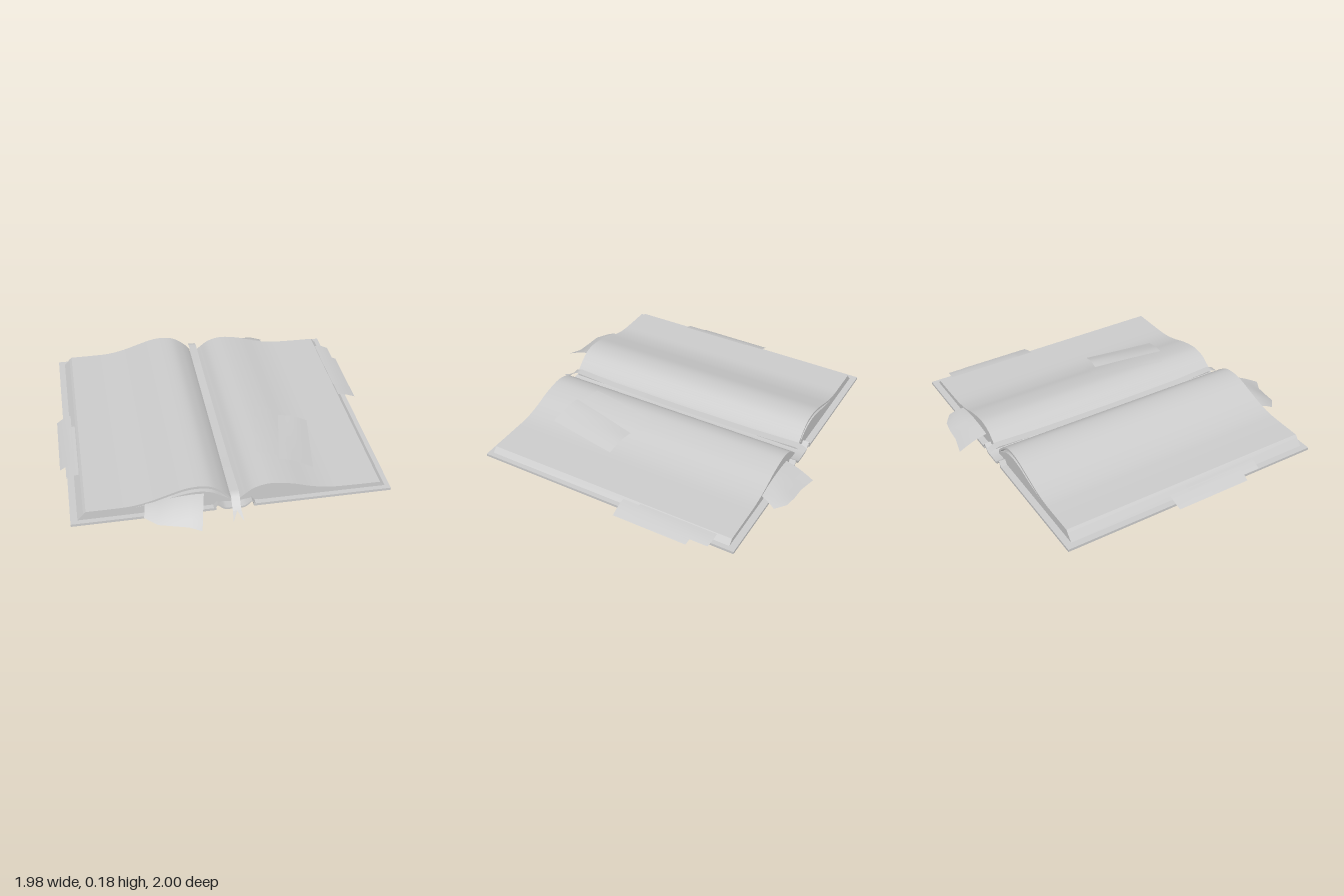
import * as THREE from 'three';
import { toCreasedNormals } from 'three/addons/utils/BufferGeometryUtils.js';

const material = new THREE.MeshStandardMaterial({ color: 0xcccccc, side: THREE.DoubleSide });
const PAGE_BACK = -0.82, PAGE_FRONT = 0.79, COVER_BACK = -0.86, COVER_FRONT = 0.82;

const smooth = (pts, n = 40) =>
  new THREE.SplineCurve(pts.map(p => new THREE.Vector2(...p))).getPoints(n);
const vec = pts => pts.map(p => new THREE.Vector2(...p));

// height of a page curve at x
function heightAt(curve, x) {
  for (let i = 1; i < curve.length; i++) {
    const a = curve[i - 1], b = curve[i];
    if (x >= a.x && x <= b.x) return a.y + (b.y - a.y) * (x - a.x) / (b.x - a.x);
  }
  return x < curve[0].x ? curve[0].y : curve[curve.length - 1].y;
}

export function createModel() {
  const model = new THREE.Group();
  model.name = 'openBook';

  function add(name, geometry) {
    const mesh = new THREE.Mesh(geometry, material);
    mesh.name = name;
    model.add(mesh);
    return mesh;
  }

  // cross-section in x/y swept along z
  function sweep(name, points, z0, z1) {
    const geo = new THREE.ExtrudeGeometry(new THREE.Shape(points),
      { depth: z1 - z0, bevelEnabled: false, steps: 1 });
    geo.translate(0, 0, z0);
    return add(name, toCreasedNormals(geo, 0.5));
  }

  // thin paper stretched between two polylines of equal length
  function sheet(name, edgeA, edgeB, lift = null, rows = 6) {
    const cols = edgeA.length - 1;
    const geo = new THREE.PlaneGeometry(1, 1, cols, rows);
    const pos = geo.attributes.position;
    for (let r = 0; r <= rows; r++) for (let c = 0; c <= cols; c++) {
      const p = new THREE.Vector3(...edgeA[c]).lerp(new THREE.Vector3(...edgeB[c]), r / rows);
      if (lift) p.y += lift(p.x, r / rows, c / cols);
      pos.setXYZ(r * (cols + 1) + c, p.x, p.y, p.z);
    }
    geo.computeVertexNormals();
    return add(name, geo);
  }

  // cover boards
  for (const [name, x0, x1] of [['rightCover', -0.95, -0.12], ['leftCover', 0.10, 0.92]]) {
    const board = add(name, new THREE.BoxGeometry(x1 - x0, 0.016, COVER_FRONT - COVER_BACK));
    board.position.set((x0 + x1) / 2, 0.023, (COVER_FRONT + COVER_BACK) / 2);
  }

  // spine strip with a raised fold at each joint
  sweep('spine', vec([
    [-0.135, 0.022], [-0.112, 0.05], [-0.08, 0.02], [-0.06, 0.012], [0.04, 0.012], [0.058, 0.02], [0.088, 0.05], [0.11, 0.022],
    [0.11, 0.03], [0.088, 0.06], [0.056, 0.032], [0.04, 0.024], [-0.06, 0.024], [-0.078, 0.032], [-0.112, 0.06], [-0.135, 0.03]
  ]), COVER_BACK, COVER_FRONT);

  // raised bands across the spine
  for (const z of [-0.52, -0.18, 0.16, 0.5]) {
    const band = add('spineBand', new THREE.BoxGeometry(0.11, 0.01, 0.02));
    band.position.set(-0.01, 0.012, z);
  }

  // lower page block on the right-hand cover
  const lowerTop = smooth([[-0.87, 0.075], [-0.62, 0.075], [-0.45, 0.10], [-0.32, 0.132],
    [-0.22, 0.142], [-0.14, 0.125], [-0.08, 0.09], [-0.03, 0.06]]);
  sweep('rightPageBlock', [...vec([[-0.03, 0.045], [-0.08, 0.052], [-0.14, 0.033], [-0.91, 0.031]]), ...lowerTop],
    PAGE_BACK, PAGE_FRONT);

  // arched bundle of leaves above it
  const archTop = smooth([[-0.86, 0.086], [-0.7, 0.086], [-0.6, 0.09], [-0.5, 0.11], [-0.4, 0.142],
    [-0.3, 0.173], [-0.22, 0.181], [-0.15, 0.169], [-0.09, 0.132], [-0.05, 0.095], [-0.03, 0.07]]);
  const archBottom = smooth([[-0.035, 0.06], [-0.065, 0.092], [-0.1, 0.125], [-0.155, 0.155], [-0.22, 0.165],
    [-0.3, 0.158], [-0.4, 0.128], [-0.5, 0.096], [-0.6, 0.076], [-0.7, 0.073], [-0.875, 0.073]]);
  sweep('archedLeaves', [...archTop, ...archBottom], PAGE_BACK, PAGE_FRONT);

  // page block on the left-hand cover
  const leftTop = smooth([[0.02, 0.06], [0.05, 0.085], [0.1, 0.122], [0.17, 0.143], [0.24, 0.142], [0.34, 0.122],
    [0.44, 0.09], [0.55, 0.068], [0.68, 0.062], [0.86, 0.06]]);
  sweep('leftPageBlock', [...leftTop, ...vec([[0.89, 0.031], [0.13, 0.033], [0.07, 0.052], [0.02, 0.045]])],
    PAGE_BACK, PAGE_FRONT);

  // ribbon marker lying in the gutter, with a forked front end
  const ribbonPath = [[-0.88, 0.075], [-0.82, 0.098], [-0.5, 0.085], [0, 0.08], [0.5, 0.085],
    [0.76, 0.1], [0.8, 0.085], [0.83, 0.05], [0.86, 0.03]];
  sheet('ribbon', ribbonPath.map(([z, y]) => [-0.032, y, z]), ribbonPath.map(([z, y]) => [0.018, y, z]));
  for (const [x0, x1, t0, t1] of [[-0.032, -0.007, -0.038, -0.028], [-0.007, 0.018, 0.012, 0.024]]) {
    const outer = x0 < -0.01;
    sheet('ribbonTail', [[x0, 0.03, 0.86], [t0, outer ? 0 : 0.008, outer ? 0.92 : 0.9]],
      [[x1, 0.03, 0.86], [t1, outer ? 0.008 : 0, outer ? 0.9 : 0.92]], null, 1);
  }

  // loose papers slipped between pages, hanging out at front and back
  sheet('frontPaper',
    [[-0.51, 0.088, 0.7], [-0.42, 0.11, 0.7], [-0.32, 0.138, 0.7], [-0.24, 0.148, 0.7], [-0.17, 0.14, 0.7]],
    [[-0.54, 0.065, 0.87], [-0.47, 0.055, 0.93], [-0.38, 0.045, 0.945], [-0.3, 0.037, 0.96], [-0.23, 0.035, 1.0]],
    (x, t) => 0.02 * Math.sin(Math.PI * t));
  sheet('backPaper',
    [[0.14, 0.09, -0.77], [0.23, 0.1, -0.77], [0.32, 0.1, -0.77], [0.4, 0.088, -0.77], [0.47, 0.07, -0.77]],
    [[0.15, 0.012, -1.0], [0.27, 0.02, -0.975], [0.36, 0.025, -0.972], [0.44, 0.03, -0.96], [0.51, 0.035, -0.91]],
    (x, t) => 0.015 * Math.sin(Math.PI * t));

  // slips sticking out of the fore edges: inner x, outer x, back z, front z, inner y, outer y
  const slips = [
    [-0.9, -0.99, -0.17, 0.32, 0.062, 0.02], [-0.87, -0.955, -0.05, 0.43, 0.066, 0.04],
    [0.86, 0.955, -0.73, -0.24, 0.056, 0.035], [0.87, 0.985, -0.61, -0.13, 0.05, 0.016]
  ];
  for (const [xi, xo, z0, z1, yi, yo] of slips) {
    const xm = (xi + xo) / 2, ym = (yi + yo) / 2 + 0.006;
    sheet('edgeSlip', [[xi, yi, z0], [xm, ym, z0], [xo, yo, z0 + 0.01]],
      [[xi, yi, z1], [xm, ym, z1], [xo, yo, z1]], null, 2);
  }

  // two notes lying on the open left page, following its curve
  const line = (a, b, n = 10) => Array.from({ length: n + 1 }, (_, i) =>
    [a[0] + (b[0] - a[0]) * i / n, 0, a[1] + (b[1] - a[1]) * i / n]);
  const onPage = x => heightAt(leftTop, x);
  sheet('lowerNote', line([0.26, 0.03], [0.46, 0.07]), line([0.17, 0.5], [0.37, 0.55]),
    x => onPage(x) + 0.003);
  sheet('upperNote', line([0.40, 0.11], [0.58, 0.145]), line([0.30, 0.57], [0.50, 0.615]),
    (x, t, s) => onPage(x) + 0.005 + 0.02 * Math.sin(Math.PI * s) * (1 - 0.5 * t));

  return model;
}
